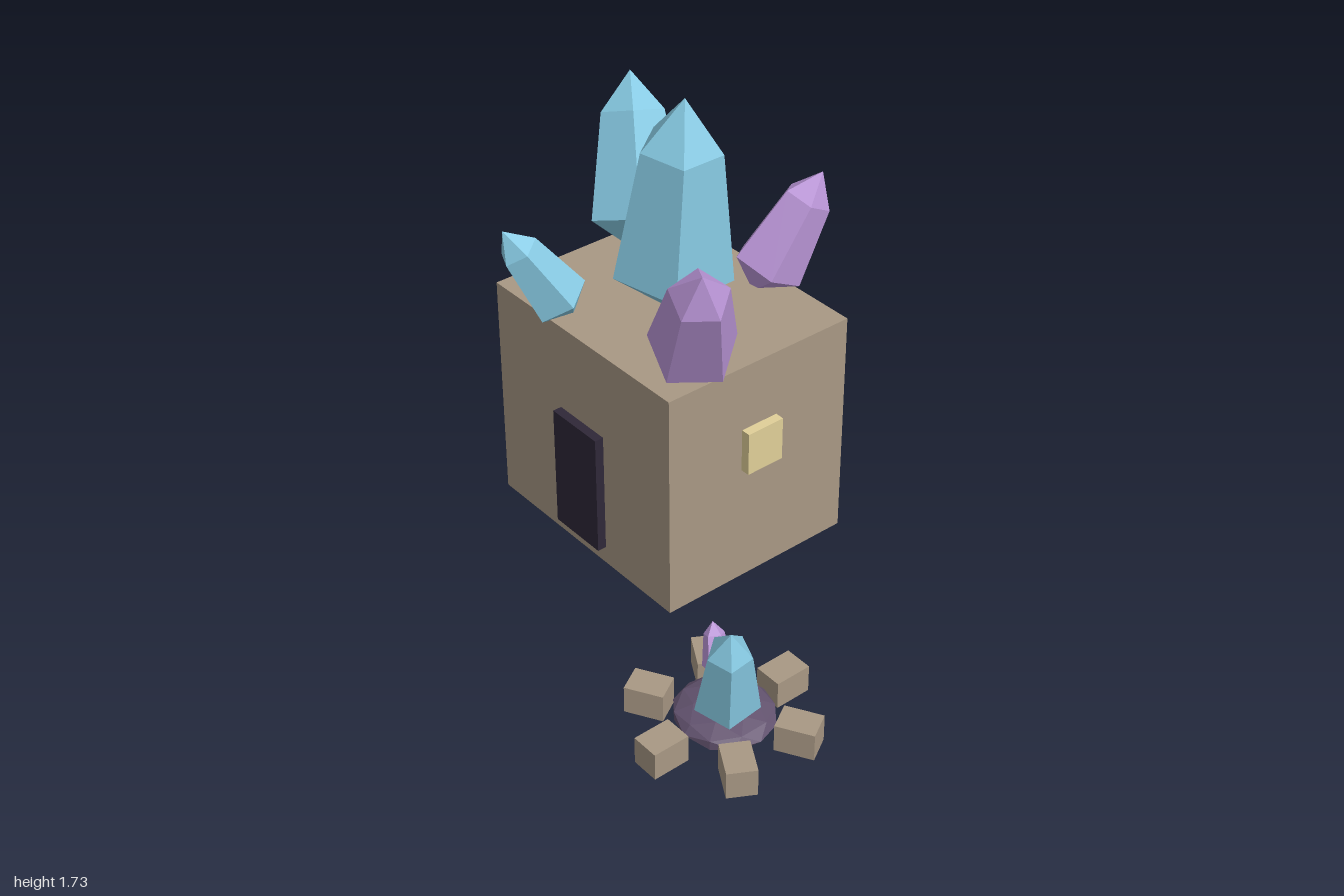
import * as THREE from 'three';

const material = (color) => new THREE.MeshStandardMaterial({ color, flatShading: true });
const stone = material(0xa89884);
const dark = material(0x2f2838);
const glow = material(0xe0cf98);
const blue = material(0x87cae3);
const purple = material(0xbb96d8);
const rock = material(0x63536f);

function addMesh(parent, name, geometry, mat, x, y, z) {
  const mesh = new THREE.Mesh(geometry, mat);
  mesh.name = name;
  mesh.position.set(x, y, z);
  parent.add(mesh);
  return mesh;
}

// Five-sided crystal: pointed foot, wide ring, narrower shoulder ring, tip
function addCrystal(parent, name, mat, base, tip, radius, twist) {
  const foot = new THREE.Vector3(...base);
  const axis = new THREE.Vector3(...tip).sub(foot);
  const length = axis.length();
  const profile = [[0, 0], [radius, 0.2], [radius * 0.67, 0.78], [0, 1]]
    .map(([r, t]) => new THREE.Vector2(r, t * length));
  const geometry = new THREE.LatheGeometry(profile, 5).rotateY(twist);
  const mesh = addMesh(parent, name, geometry, mat, ...base);
  mesh.quaternion.setFromUnitVectors(new THREE.Vector3(0, 1, 0), axis.normalize());
}

export function createModel() {
  const model = new THREE.Group();
  model.name = 'crystalHouse';
  const toLeft = Math.PI / 2, toRight = -Math.PI / 2;

  // House block with door and side windows
  const house = new THREE.Group();
  house.name = 'house';
  model.add(house);
  addMesh(house, 'walls', new THREE.BoxGeometry(0.97, 0.9, 0.8), stone, -0.35, 0.45, -0.2);
  addMesh(house, 'door', new THREE.BoxGeometry(0.242, 0.485, 0.07), dark, -0.35, 0.313, 0.2);
  for (const side of [-1, 1]) {
    addMesh(house, side > 0 ? 'leftWindow' : 'rightWindow',
      new THREE.BoxGeometry(0.07, 0.17, 0.155), glow, -0.35 + side * 0.486, 0.556, -0.2);
  }

  // Crystals growing from the roof
  const roof = new THREE.Group();
  roof.name = 'roofCrystals';
  model.add(roof);
  addCrystal(roof, 'mainCrystal', blue, [-0.35, 0.87, -0.2], [-0.265, 1.725, -0.2], 0.221, toRight);
  addCrystal(roof, 'backRightCrystal', blue, [-0.7, 0.87, -0.35], [-0.96, 1.465, -0.515], 0.182, toRight);
  addCrystal(roof, 'frontLeftCrystal', purple, [-0.03, 0.87, -0.03], [0.23, 1.403, 0.138], 0.16, toLeft);
  addCrystal(roof, 'frontRightCrystal', blue, [-0.53, 0.87, 0.09], [-0.63, 1.242, 0.303], 0.11, toLeft - 0.12);
  addCrystal(roof, 'backCrystal', purple, [-0.25, 0.87, -0.5], [-0.16, 1.307, -0.737], 0.135, toRight);

  // Fire pit: low boulder, ring of stones and two crystals
  const pit = new THREE.Group();
  pit.name = 'crystalPit';
  model.add(pit);
  const cx = 0.685, cz = 0.423;
  const boulder = new THREE.IcosahedronGeometry(0.182, 1).scale(1, 0.31, 0.95);
  addMesh(pit, 'boulder', boulder, rock, cx, 0.057, cz - 0.005);
  for (let i = 0; i < 6; i++) {
    const a = (i * Math.PI) / 3;
    const block = addMesh(pit, 'ringStone', new THREE.BoxGeometry(0.104, 0.105, 0.138), stone,
      cx + Math.sin(a) * 0.261, 0.0525, cz + Math.cos(a) * 0.261);
    block.rotation.y = a;
  }
  addCrystal(pit, 'pitMainCrystal', blue, [0.7, 0.06, 0.425], [0.8, 0.508, 0.495], 0.114, toRight);
  addCrystal(pit, 'pitSmallCrystal', purple, [0.567, 0.085, 0.341], [0.497, 0.264, 0.312], 0.055, toLeft);

  return model;
}
